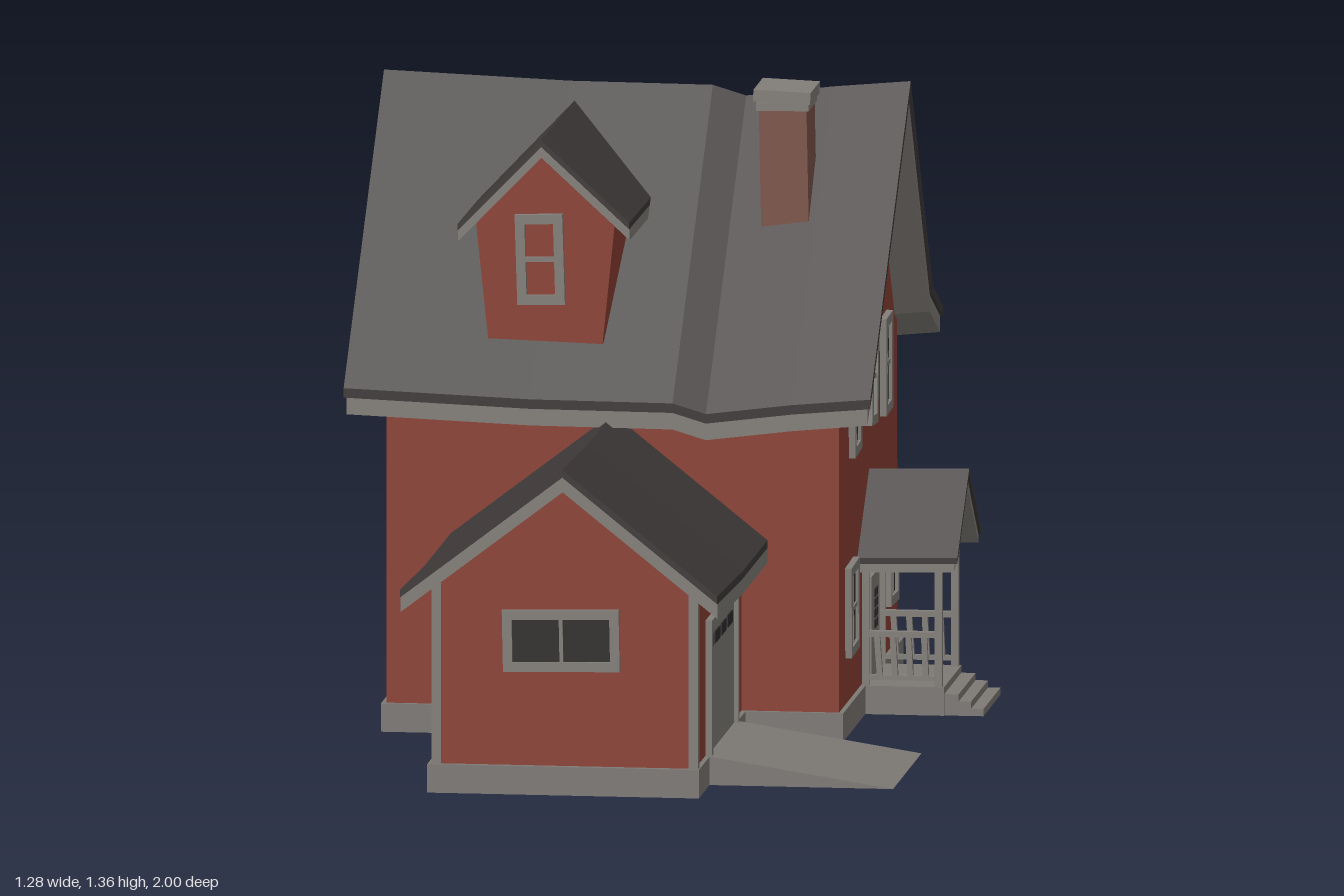
import * as THREE from 'three';

const mat = (name, color) => Object.assign(new THREE.MeshStandardMaterial({ color, flatShading: true }), { name });

export function createModel() {
  const house = new THREE.Group();
  house.name = 'house';
  const red = mat('red siding', 0x8c4033);
  const grey = mat('grey trim', 0x827e79);
  const stone = mat('foundation grey', 0x7d7975);
  const slate = mat('dark roof', 0x3f3939);
  const brick = mat('chimney brick', 0x7c5448);
  const glass = mat('dark glass', 0x2f2b2b);

  const add = (name, geo, material, parent = house) => {
    const m = new THREE.Mesh(geo, material);
    m.name = name;
    parent.add(m);
    return m;
  };
  // box given by its min and max corners
  const block = (name, material, [x0, y0, z0], [x1, y1, z1], parent) => {
    const m = add(name, new THREE.BoxGeometry(x1 - x0, y1 - y0, z1 - z0), material, parent);
    m.position.set((x0 + x1) / 2, (y0 + y1) / 2, (z0 + z1) / 2);
    return m;
  };
  // square beam between two points
  const beam = (name, material, a, b, size, parent) => {
    const p = new THREE.Vector3(...a), q = new THREE.Vector3(...b);
    const m = add(name, new THREE.BoxGeometry(size, size, p.distanceTo(q)), material, parent);
    m.position.copy(p).lerp(q, 0.5);
    m.lookAt(q);
    return m;
  };
  // polygon [a, y] pushed from u0 to u1 along x (a = z) or along z (a = x)
  const prism = (name, material, axis, pts, u0, u1) => {
    const shape = new THREE.Shape(pts.map(([a, y]) => new THREE.Vector2(axis === 'x' ? -a : a, y)));
    const geo = new THREE.ExtrudeGeometry(shape, { depth: u1 - u0, bevelEnabled: false });
    geo.translate(0, 0, u0);
    if (axis === 'x') geo.rotateY(Math.PI / 2);
    return add(name, geo, material);
  };

  // bent slab: profile [a, y] carried along stations [u, sag], t thick downward
  const slab = (axis, profile, stations, drop, t) => {
    const pos = [];
    const at = (j, i, d) => {
      const [u, sag] = stations[j], [a, y] = profile[i];
      return axis === 'x' ? [u, y + sag - d, a] : [a, y + sag - d, u];
    };
    const quad = (a, b, c, d) => pos.push(...a, ...b, ...c, ...a, ...c, ...d);
    const top = (j, i) => at(j, i, drop), low = (j, i) => at(j, i, drop + t);
    const J = stations.length - 1, I = profile.length - 1;
    for (let j = 0; j < J; j++) {
      for (let i = 0; i < I; i++) {
        quad(top(j, i), top(j + 1, i), top(j + 1, i + 1), top(j, i + 1));
        quad(low(j, i), low(j, i + 1), low(j + 1, i + 1), low(j + 1, i));
      }
      quad(low(j, 0), low(j + 1, 0), top(j + 1, 0), top(j, 0));
      quad(low(j + 1, I), low(j, I), top(j, I), top(j + 1, I));
    }
    for (let i = 0; i < I; i++) {
      quad(low(J, i), low(J, i + 1), top(J, i + 1), top(J, i));
      quad(low(0, i + 1), low(0, i), top(0, i), top(0, i + 1));
    }
    const geo = new THREE.BufferGeometry();
    geo.setAttribute('position', new THREE.Float32BufferAttribute(pos, 3));
    geo.computeVertexNormals();
    return geo;
  };
  // dark covering over a grey layer that forms bargeboards, fascia and soffit
  const roof = (name, axis, profile, stations, t, under) => {
    add(name, slab(axis, profile, stations, 0, t), slate);
    const inner = stations.map(([u, s], k) =>
      [u + (k === 0 ? 0.006 : k === stations.length - 1 ? -0.006 : 0), s]);
    add(name + 'Trim', slab(axis, profile, inner, t, under), grey);
  };

  // window facing +z locally, then turned; panes = false leaves the siding visible
  const windowAt = (name, p, turn, w, h, { roll = 0, panes = true, bars = 'both' } = {}) => {
    const g = new THREE.Group();
    g.name = name;
    const f = 0.02, d = 0.012;
    for (const s of [-1, 1]) {
      const x = s * (w - f) / 2, y = s * (h - f) / 2;
      block('frameSide', grey, [x - f / 2, -h / 2, -d], [x + f / 2, h / 2, d], g);
      block('frameRail', grey, [-w / 2, y - f / 2, -d], [w / 2, y + f / 2, d], g);
    }
    if (panes) block('pane', glass, [-w / 2 + f, -h / 2 + f, 0], [w / 2 - f, h / 2 - f, 0.005], g);
    if (bars !== 'vertical') block('crossbar', grey, [-w / 2, -0.005, 0], [w / 2, 0.005, 0.009], g);
    if (bars !== 'cross') block('mullion', grey, [-0.004, -h / 2, 0], [0.004, h / 2, 0.008], g);
    g.position.set(...p);
    g.rotation.set(0, turn, roll);
    house.add(g);
  };

  // foundation and driveway
  block('foundation', stone, [-0.575, 0.04, -0.745], [0.395, 0.1, 0.21]);
  block('garageFoundation', stone, [-0.38, 0.04, 0.21], [0.19, 0.1, 0.95]);
  prism('driveway', stone, 'z', [[0.19, 0.04], [0.575, 0.04], [0.19, 0.1]], 0.33, 0.78);

  // main house
  prism('mainWalls', red, 'x',
    [[0.2, 0.1], [0.2, 0.835], [-0.33, 1.3], [-0.68, 0.81], [-0.715, 0.79], [-0.73, 0.1]], -0.565, 0.385);
  roof('mainRoof', 'x', [[0.31, 0.78], [-0.33, 1.345], [-0.68, 0.855], [-0.84, 0.785]],
    [[-0.64, 0], [-0.25, -0.015], [0.05, -0.017], [0.12, -0.038], [0.3, -0.015], [0.465, 0]], 0.02, 0.035);

  // garage wing
  prism('garageWalls', red, 'z',
    [[-0.365, 0.1], [0.18, 0.1], [0.18, 0.475], [-0.09, 0.69], [-0.365, 0.48]], 0.15, 0.935);
  roof('garageRoof', 'z', [[-0.43, 0.475], [-0.09, 0.735], [0.235, 0.475]],
    [[0.15, -0.015], [0.6, -0.014], [1, 0]], 0.016, 0.032);
  for (const x of [-0.362, 0.177])
    block('cornerBoard', grey, [x - 0.01, 0.1, 0.92], [x + 0.01, 0.48, 0.942]);
  windowAt('garageWindow', [-0.1, 0.365, 0.937], 0, 0.245, 0.13, { roll: 0.02, bars: 'vertical' });

  // garage door with a row of small lights
  block('garageDoor', grey, [0.178, 0.1, 0.345], [0.185, 0.37, 0.76]);
  for (const z of [0.345, 0.76])
    block('doorJamb', grey, [0.178, 0.1, z - 0.01], [0.194, 0.385, z + 0.01]);
  block('doorHeader', grey, [0.178, 0.365, 0.335], [0.194, 0.385, 0.77]);
  for (let i = 0; i < 4; i++) {
    const z = 0.395 + i * 0.1;
    block('doorLight', glass, [0.184, 0.32, z], [0.188, 0.345, z + 0.075]);
  }

  // front dormer
  prism('dormerWalls', red, 'z',
    [[-0.35, 0.875], [-0.11, 0.868], [-0.085, 1.115], [-0.235, 1.265], [-0.375, 1.115]], -0.15, 0.21);
  roof('dormerRoof', 'z', [[-0.41, 1.12], [-0.235, 1.3], [-0.05, 1.13]], [[-0.31, -0.005], [0.24, 0]], 0.014, 0.024);
  windowAt('dormerWindow', [-0.24, 1.045, 0.212], 0, 0.1, 0.19, { roll: 0.03, panes: false, bars: 'cross' });

  // raised back room on stilts
  prism('backRoomWalls', red, 'z',
    [[-0.33, 0.51], [0.12, 0.51], [0.12, 0.82], [-0.11, 1.02], [-0.23, 0.885], [-0.33, 0.805]], -0.95, -0.68);
  roof('backRoomRoof', 'z', [[-0.38, 0.815], [-0.23, 0.93], [-0.11, 1.068], [0.18, 0.815]],
    [[-1, 0], [-0.8, -0.015], [-0.45, -0.01]], 0.016, 0.03);
  windowAt('backWindow', [-0.105, 0.72, -0.952], Math.PI, 0.24, 0.13, { bars: 'vertical' });
  for (const [x, topZ] of [[-0.26, -0.935], [0.065, -0.87]]) {
    beam('backStilt', grey, [x, 0.005, -0.887], [x, 0.52, topZ], 0.02);
    beam('innerStilt', grey, [x, 0.005, -0.77], [x, 0.52, -0.748], 0.02);
  }

  // side windows
  const R = Math.PI / 2;
  windowAt('upperWindow', [0.387, 0.715, -0.005], R, 0.11, 0.205, { roll: 0.05 });
  windowAt('upperWindow', [0.387, 0.73, -0.277], R, 0.1, 0.2, { roll: -0.08, panes: false });
  windowAt('upperWindow', [0.387, 0.72, -0.5], R, 0.11, 0.205, { roll: 0.02 });
  windowAt('lowerWindow', [0.387, 0.295, 0.04], R, 0.13, 0.19, { roll: 0.03 });
  windowAt('lowerWindow', [0.387, 0.295, -0.59], R, 0.13, 0.19, { roll: -0.03 });
  windowAt('upperWindow', [-0.567, 0.69, -0.55], -R, 0.12, 0.22, { roll: -0.05, panes: false });
  windowAt('upperWindow', [-0.567, 0.69, -0.29], -R, 0.12, 0.22);
  windowAt('upperWindow', [-0.567, 0.7, -0.01], -R, 0.12, 0.22, { roll: 0.03 });
  windowAt('lowerWindow', [-0.567, 0.35, -0.3], -R, 0.13, 0.22);

  // front door with small panes
  block('door', grey, [0.38, 0.1, -0.35], [0.397, 0.315, -0.225]);
  for (let i = 0; i < 2; i++)
    for (let j = 0; j < 4; j++)
      block('doorPane', glass, [0.396, 0.2 + j * 0.022, -0.312 + i * 0.026], [0.399, 0.217 + j * 0.022, -0.291 + i * 0.026]);

  // porch: deck, steps, posts, railings, roof
  block('porchDeck', stone, [0.39, 0.04, -0.42], [0.56, 0.1, -0.14]);
  for (let i = 0; i < 3; i++)
    block('step', stone, [0.55, 0.04, -0.415], [0.59 + i * 0.026, 0.085 - i * 0.015, -0.145]);
  for (const z of [-0.15, -0.41]) {
    block('porchPost', grey, [0.54, 0.1, z - 0.008], [0.556, 0.4, z + 0.008]);
    block('wallPost', grey, [0.388, 0.1, z - 0.006], [0.402, 0.4, z + 0.006]);
    block('handRail', grey, [0.39, 0.203, z - 0.009], [0.55, 0.215, z + 0.009]);
    block('bottomRail', grey, [0.39, 0.112, z - 0.006], [0.55, 0.122, z + 0.006]);
    block('porchBeam', grey, [0.39, 0.35, z - 0.008], [0.556, 0.37, z + 0.008]);
    for (let i = 0; i < 4; i++)
      beam('baluster', grey, [0.425 + i * 0.032, 0.115, z], [0.418 + i * 0.033, 0.21, z], 0.012);
  }
  roof('porchRoof', 'x', [[-0.088, 0.382], [-0.277, 0.54], [-0.465, 0.382]], [[0.37, -0.005], [0.595, 0]], 0.012, 0.018);

  // chimney
  const chimney = new THREE.Group();
  chimney.name = 'chimney';
  chimney.position.set(0.235, 1.18, -0.125);
  chimney.rotation.z = 0.02;
  house.add(chimney);
  block('chimneyStack', brick, [-0.05, -0.17, -0.065], [0.05, 0.15, 0.065], chimney);
  block('chimneyCollar', grey, [-0.055, 0.142, -0.068], [0.055, 0.16, 0.068], chimney);
  block('chimneyCap', grey, [-0.06, 0.16, -0.075], [0.06, 0.185, 0.075], chimney).rotation.z = -0.06;

  return house;
}
